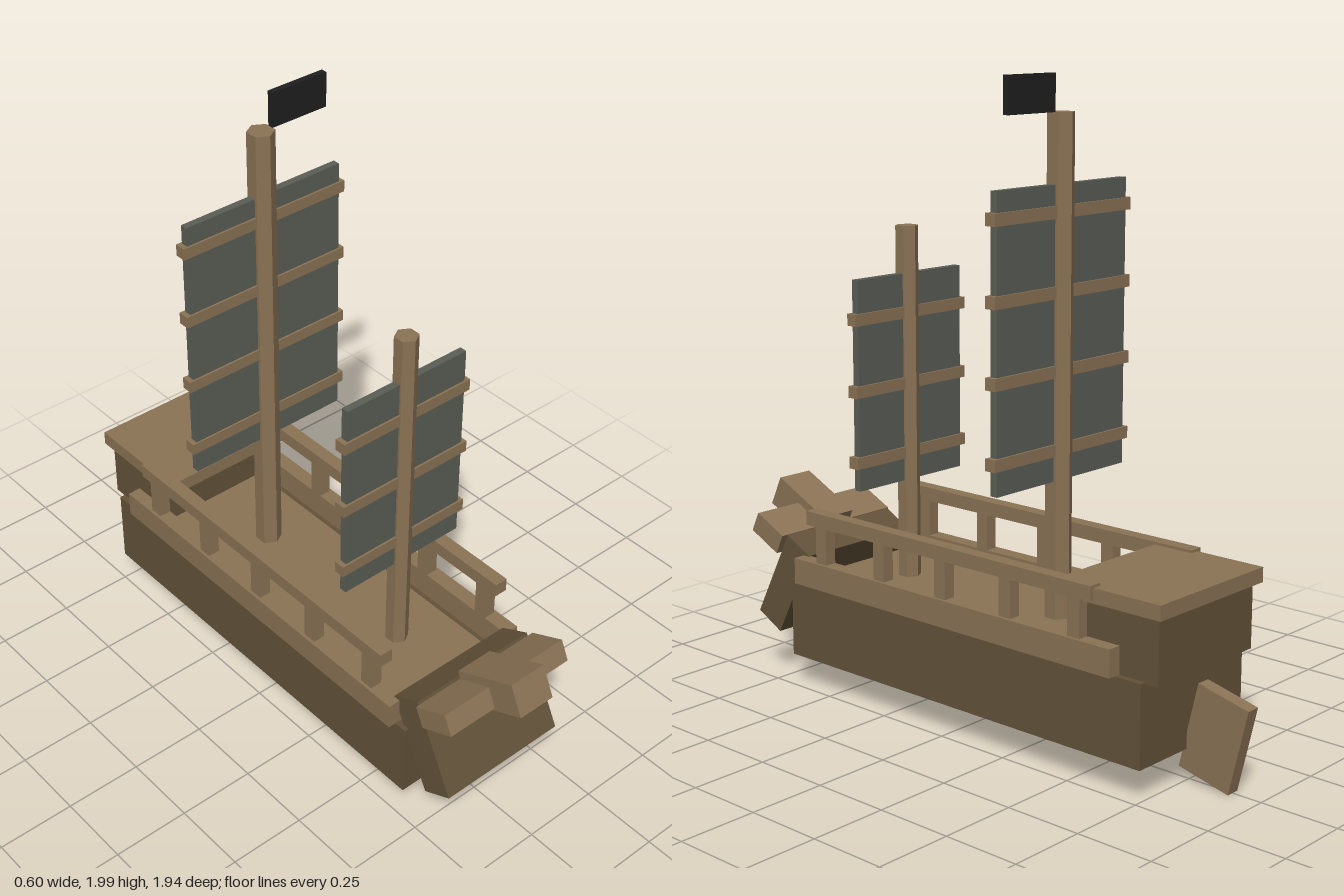
import * as THREE from 'three';

const mat = (name, color) => {
  const m = new THREE.MeshStandardMaterial({ color, flatShading: true });
  m.name = name;
  return m;
};

export function createModel() {
  const ship = new THREE.Group();
  ship.name = 'sailingShip';

  const lightWood = mat('lightWood', 0x8b7355);
  const darkWood = mat('darkWood', 0x635239);
  const sailCloth = mat('sailCloth', 0x5b5e56);
  const flagCloth = mat('flagCloth', 0x1f1f1f);

  // Box by size and centre, optionally tilted about x
  function box(name, material, [w, h, d], [x, y, z], tilt = 0, parent = ship) {
    const mesh = new THREE.Mesh(new THREE.BoxGeometry(w, h, d), material);
    mesh.name = name;
    mesh.position.set(x, y, z);
    mesh.rotation.x = tilt;
    parent.add(mesh);
    return mesh;
  }

  // Hull and deck
  box('hull', darkWood, [0.48, 0.255, 1.435], [0, 0.2325, -0.0375]);
  box('deck', lightWood, [0.36, 0.03, 1.2], [0, 0.37, 0]);

  // Stern cabin, its roof and the rudder
  box('sternCabin', darkWood, [0.44, 0.2, 0.275], [0, 0.455, -0.6625]);
  box('cabinRoof', lightWood, [0.484, 0.046, 0.373], [0, 0.578, -0.633]);
  box('rudder', lightWood, [0.046, 0.273, 0.178], [0, 0.159, -0.847], -0.23);

  // Slanted bow board, crossbeam and bowsprit
  box('bowBoard', darkWood, [0.45, 0.323, 0.112], [0, 0.329, 0.737], -0.478);
  box('bowCrossbeam', lightWood, [0.48, 0.07, 0.13], [0, 0.492, 0.796], -0.445);
  box('bowsprit', lightWood, [0.13, 0.107, 0.235], [0, 0.525, 0.843], -0.445);

  // Gunwale, posts and handrail on both sides
  for (const side of [1, -1]) {
    const railing = new THREE.Group();
    railing.name = side > 0 ? 'leftRailing' : 'rightRailing';
    box('gunwale', lightWood, [0.05, 0.085, 1.3], [side * 0.24, 0.4025, -0.013], 0, railing);
    box('handrail', lightWood, [0.045, 0.045, 1.17], [side * 0.235, 0.587, 0], 0, railing);
    for (let i = -2; i <= 2; i++) {
      box('railPost', lightWood, [0.04, 0.13, 0.045], [side * 0.235, 0.505, i * 0.261], 0, railing);
    }
    ship.add(railing);
  }

  // Six-sided mast with a battened sail
  function rig(name, z, radius, top, sailWidth, sailBottom, sailTop, battens) {
    const group = new THREE.Group();
    group.name = name;
    group.position.z = z;
    const base = 0.37;
    const mast = new THREE.Mesh(new THREE.CylinderGeometry(radius, radius, top - base, 6), lightWood);
    mast.name = 'mast';
    mast.position.y = (top + base) / 2;
    group.add(mast);
    box('sail', sailCloth, [sailWidth, sailTop - sailBottom, 0.024],
      [0, (sailTop + sailBottom) / 2, 0], 0, group);
    for (const y of battens) {
      box('batten', lightWood, [sailWidth + 0.032, 0.037, 0.037], [0, y, 0], 0, group);
    }
    ship.add(group);
    return group;
  }

  const main = rig('mainRig', -0.248, 0.0425, 1.89, 0.57, 0.81, 1.685, [0.905, 1.14, 1.373, 1.606]);
  rig('foreRig', 0.379, 0.0365, 1.515, 0.45, 0.705, 1.367, [0.796, 1.02, 1.245]);

  // Flag at the head of the main mast
  box('flag', flagCloth, [0.2, 0.11, 0.02], [0.136, 1.945, 0], 0, main);

  return ship;
}
